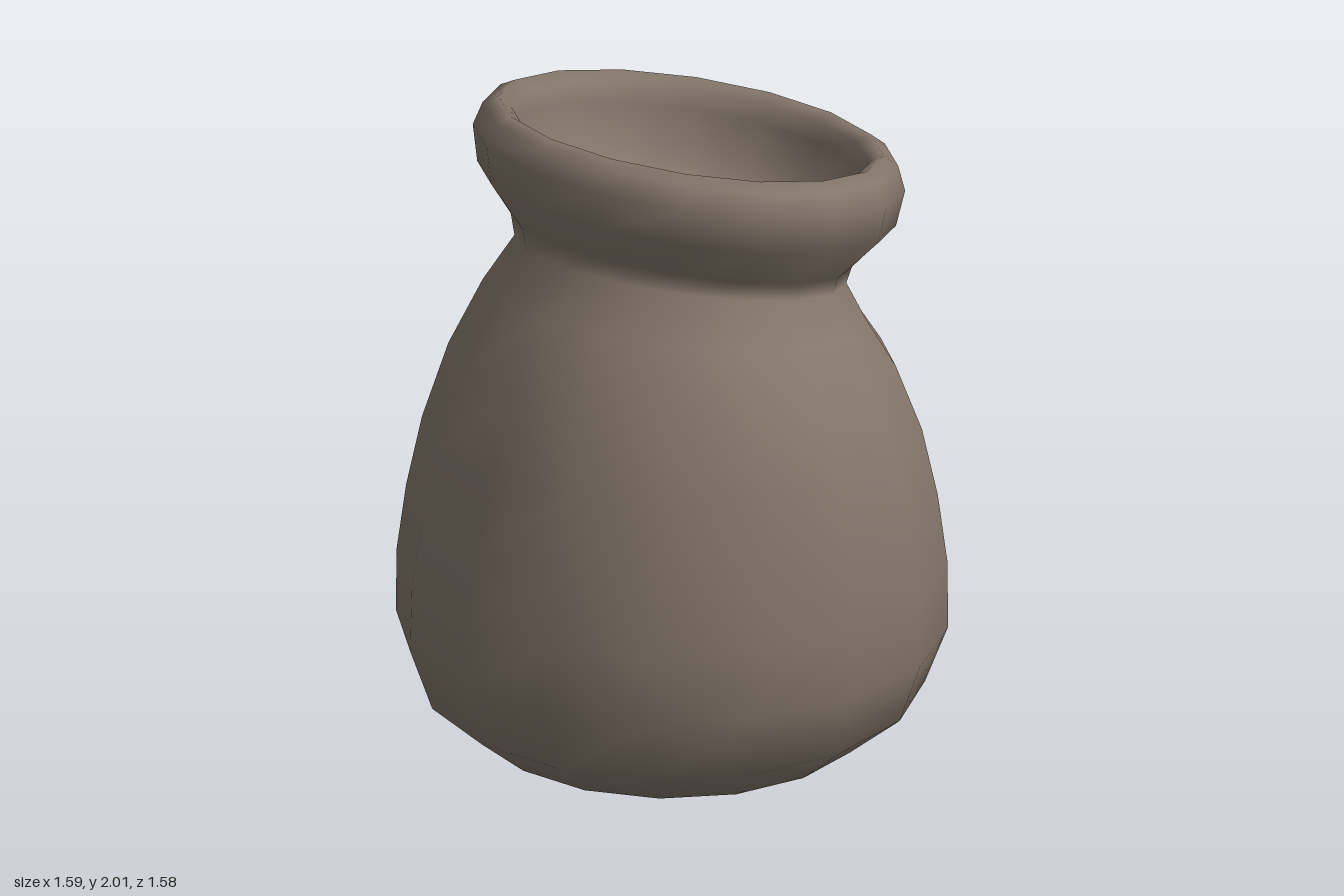
import * as THREE from 'three';
import { mergeVertices } from 'three/addons/utils/BufferGeometryUtils.js';

const SIDES = 16;

// Lofts tilted elliptical rings from the bottom up, with smooth normals.
function loft(rings) {
  const position = [];
  const index = [];
  rings.forEach(({ cx, cz, rx, rz, y, sx, sz }, i) => {
    for (let j = 0; j < SIDES; j++) {
      const a = (j / SIDES) * Math.PI * 2;
      const dx = Math.sin(a) * rx;
      const dz = Math.cos(a) * rz;
      position.push(cx + dx, y + dx * sx + dz * sz, cz + dz);
      if (i === rings.length - 1) continue;
      const p = i * SIDES + j;
      const q = i * SIDES + ((j + 1) % SIDES);
      if (rx > 0) index.push(p, q, q + SIDES);
      if (rings[i + 1].rx > 0) index.push(p, q + SIDES, p + SIDES);
    }
  });
  let geometry = new THREE.BufferGeometry();
  geometry.setAttribute('position', new THREE.Float32BufferAttribute(position, 3));
  geometry.setIndex(index);
  geometry = mergeVertices(geometry, 1e-4);
  geometry.computeVertexNormals();
  return geometry;
}

// Level, round ring of the base
const baseRing = ([r, y]) => ({ cx: 0, cz: 0, rx: r, rz: r, y, sx: 0, sz: 0 });

// Ring of the body, which leans and narrows towards the neck
const bodyRing = ([rx, rz, y, sx, sz, cx, cz]) => ({ cx, cz, rx, rz, y, sx, sz });

// Ring of the mouth, whose axis tips backwards
const mouthRing = ([r, y]) => ({
  cx: -0.02, cz: -0.09 + (1.89 - y) * 0.08, rx: r, rz: r * 0.933, y, sx: 0.04, sz: 0.225,
});

export function createModel() {
  const group = new THREE.Group();
  const clay = new THREE.MeshStandardMaterial({ color: 0x85786c });

  // rounded base
  const base = [[0, 0], [0.3, 0.02], [0.565, 0.07], [0.722, 0.2]];

  // belly, shoulder and pinched neck
  const body = [
    [0.785, 0.79, 0.375, 0.02, 0.03, 0, 0],
    [0.795, 0.78, 0.57, 0.04, 0.03, 0, 0],
    [0.775, 0.745, 0.78, 0.05, 0.03, 0, 0],
    [0.735, 0.695, 0.99, 0.065, 0.05, 0, 0],
    [0.665, 0.615, 1.205, 0.07, 0.09, 0, 0],
    [0.57, 0.53, 1.365, 0.075, 0.19, -0.01, -0.02],
    [0.495, 0.455, 1.485, 0.08, 0.25, -0.015, -0.045],
    [0.51, 0.467, 1.54, 0.07, 0.26, -0.02, -0.053],
  ];

  // thick rolled lip, then the shallow hollow inside it
  const lip = [[0.62, 1.68], [0.64, 1.79], [0.615, 1.862], [0.57, 1.887], [0.53, 1.86], [0.52, 1.8]];
  const hollow = [[0.5, 1.69], [0.43, 1.6], [0.25, 1.54], [0, 1.52]];

  const pot = new THREE.Mesh(
    loft([...base.map(baseRing), ...body.map(bodyRing), ...[...lip, ...hollow].map(mouthRing)]),
    clay,
  );
  pot.name = 'pot';
  group.add(pot);
  return group;
}
